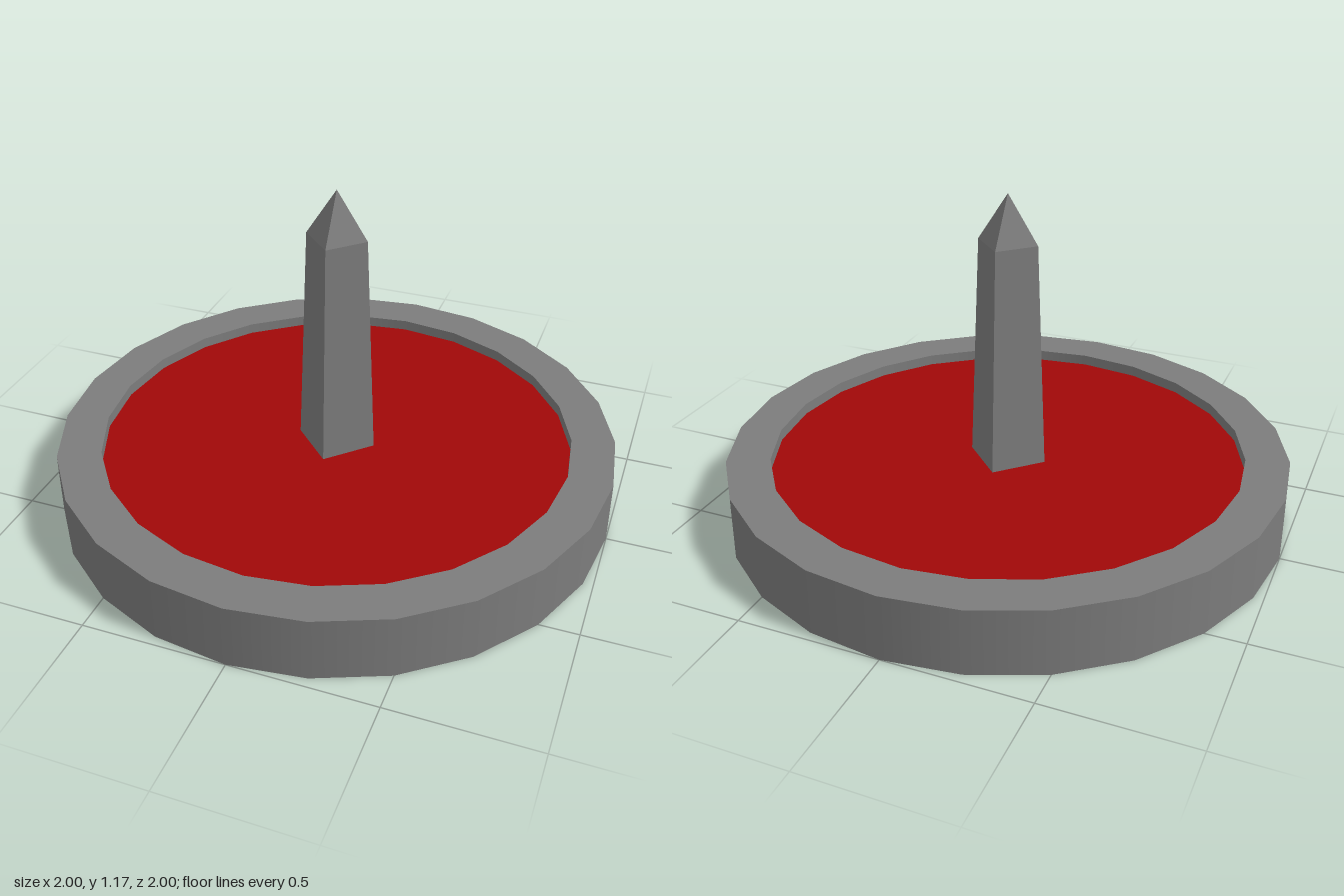
import * as THREE from 'three';

const SIDES = 24, OUTER = 1, INNER = 0.845, TOP = 0.23, PLATE = 0.19;
const FOOT = 0.142, SHOULDER = 0.109;

export function createModel() {
  const group = new THREE.Group();
  const grey = new THREE.MeshStandardMaterial({ color: 0x7c7c7c, side: THREE.DoubleSide });
  const flatGrey = new THREE.MeshStandardMaterial({ color: 0x7c7c7c, side: THREE.DoubleSide, flatShading: true });
  const red = new THREE.MeshStandardMaterial({ color: 0xa00808, side: THREE.DoubleSide });

  const add = (name, geometry, material, y = 0) => {
    const mesh = new THREE.Mesh(geometry, material);
    mesh.name = name;
    mesh.position.y = y;
    group.add(mesh);
  };
  // One band of the hollow base, kept separate so its edges stay sharp
  const band = (r0, y0, r1, y1) =>
    new THREE.LatheGeometry([new THREE.Vector2(r0, y0), new THREE.Vector2(r1, y1)], SIDES);
  // Corners of a regular polygon
  const polygon = (radius, sides) => Array.from({ length: sides }, (_, i) => {
    const a = (i / sides) * Math.PI * 2;
    return new THREE.Vector2(radius * Math.cos(a), radius * Math.sin(a));
  });

  // Hollow round base, open underneath
  add('outerWall', band(OUTER, 0, OUTER, TOP), grey);
  add('rim', band(OUTER, TOP, INNER, TOP), grey);
  add('innerLip', band(INNER, TOP, INNER, PLATE), grey);

  // Recessed coloured plate with a square opening below the spike
  const plate = new THREE.Shape(polygon(INNER, SIDES));
  plate.holes.push(new THREE.Path(polygon(FOOT, 4)));
  add('plate', new THREE.ShapeGeometry(plate).rotateX(-Math.PI / 2), red, PLATE);

  // Hollow tapered four-sided spike with a pyramid point, corners on the axes
  const profile = [[FOOT, PLATE], [SHOULDER, 1.0], [0, 1.17]]
    .map(([r, y]) => new THREE.Vector2(r, y));
  add('spike', new THREE.LatheGeometry(profile, 4), flatGrey);

  return group;
}
